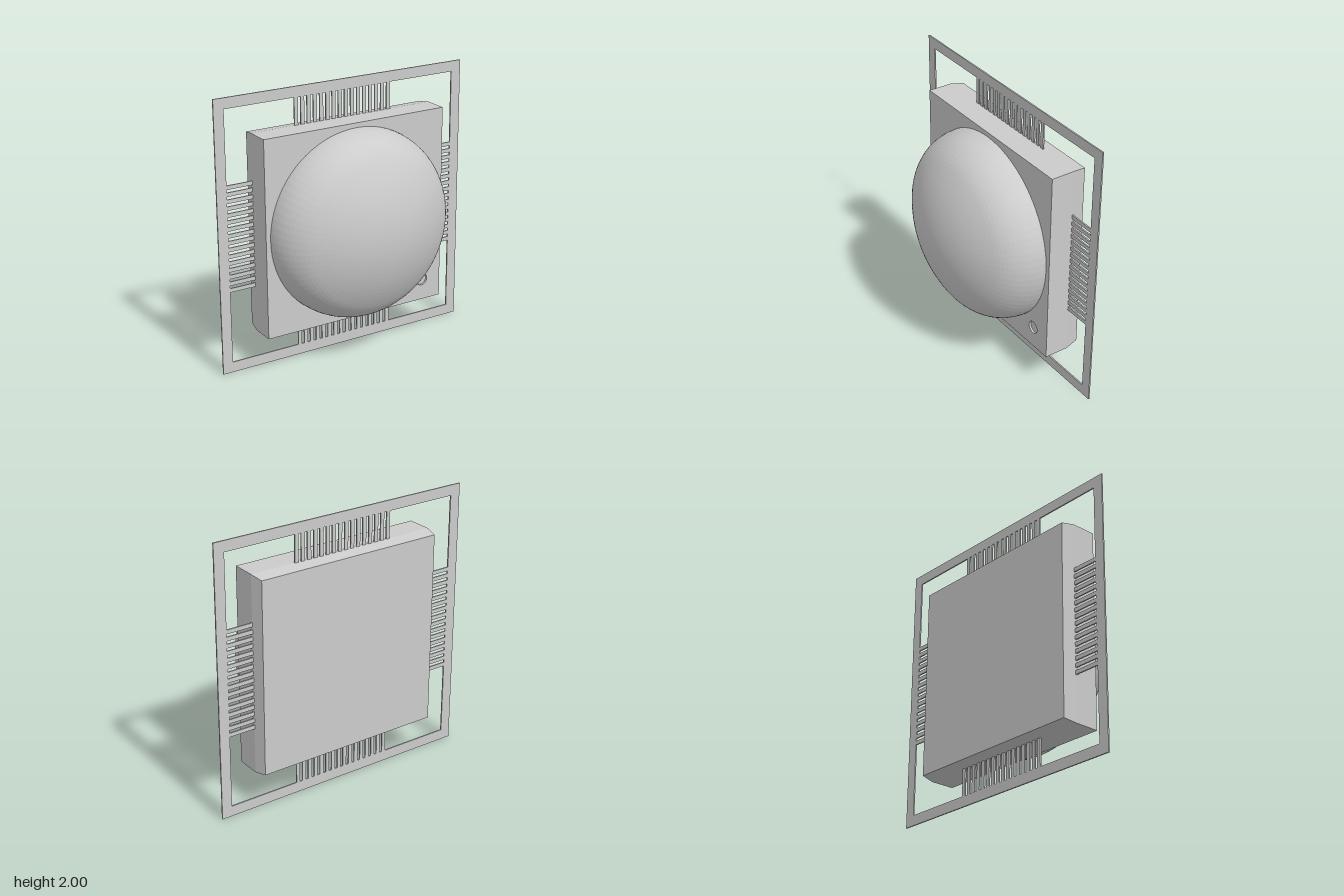
import * as THREE from 'three';

const CY = 1;            // height of the package centre
const HALF = 0.726;      // half width of the package body
const FRONT = -0.085;    // front face of the body
const FRAME_Z = -0.264;  // plane of the lead frame
const THICK = 0.01;      // sheet thickness of the lead frame

const material = new THREE.MeshStandardMaterial({ color: 0xcccccc, flatShading: true });

function addMesh(parent, name, geometry, x = 0, y = 0, z = 0) {
  const mesh = new THREE.Mesh(geometry, material);
  mesh.name = name;
  mesh.position.set(x, y, z);
  parent.add(mesh);
  return mesh;
}

function square(half, Type = THREE.Shape) {
  return new Type([[-1, -1], [1, -1], [1, 1], [-1, 1]].map(([x, y]) => new THREE.Vector2(x * half, y * half)));
}

function extrude(shape, depth) {
  return new THREE.ExtrudeGeometry(shape, { depth, bevelEnabled: false, curveSegments: 32 });
}

export function createModel() {
  const model = new THREE.Group();
  model.name = 'domedChipPackage';
  const chip = new THREE.Group();
  chip.name = 'package';
  chip.position.y = CY;
  model.add(chip);

  // Front layer of the body, with the round orientation dimple
  const recess = 0.015;
  const face = square(HALF);
  face.holes.push(new THREE.Path().absarc(0.567, -0.567, 0.046, 0, Math.PI * 2, true));
  addMesh(chip, 'bodyFace', extrude(face, recess), 0, 0, FRONT - recess);

  // Straight middle of the body, then a drafted rear half
  const bodyFront = FRONT - recess;
  const bodyBack = -0.362;
  const body = new THREE.BoxGeometry(2 * HALF, 2 * HALF, 1, 1, 1, 2);
  const p = body.attributes.position;
  for (let i = 0; i < p.count; i++) {
    const z = p.getZ(i);
    p.setZ(i, z > 0.1 ? bodyFront : z < -0.1 ? bodyBack : FRAME_Z);
    if (z < -0.1) {
      p.setX(i, Math.sign(p.getX(i)) * 0.709);
      p.setY(i, Math.sign(p.getY(i)) * 0.709);
    }
  }
  body.computeVertexNormals();
  addMesh(chip, 'body', body);

  // Dome: a shallow spherical cap blended into a rounded rim
  const profile = [];
  const R = 1, rim = 0.346, apex = 0.36;
  const join = Math.atan2(rim, FRONT - (apex - R)); // angle from the axis where the arcs meet
  for (let i = 0; i <= 12; i++) {
    const a = Math.PI / 2 + (join - Math.PI / 2) * i / 12;
    profile.push(new THREE.Vector2(rim + rim * Math.sin(a), FRONT + rim * Math.cos(a)));
  }
  for (let i = 1; i <= 16; i++) {
    const a = join * (1 - i / 16);
    profile.push(new THREE.Vector2(R * Math.sin(a), apex - R + R * Math.cos(a)));
  }
  const dome = new THREE.LatheGeometry(profile, 80);
  dome.rotateX(Math.PI / 2);
  addMesh(chip, 'dome', dome);

  // Square outer frame
  const inner = 0.923;
  const frame = square(1);
  frame.holes.push(square(inner, THREE.Path));
  addMesh(chip, 'leadFrame', extrude(frame, THICK), 0, 0, FRAME_Z - THICK / 2);

  // Sixteen leads on each side, joining body and frame
  const count = 16, pitch = 0.05;
  const start = HALF - 0.01;
  const lead = new THREE.BoxGeometry(0.029, inner - start, THICK);
  for (let side = 0; side < 4; side++) {
    const row = new THREE.Group();
    row.name = 'leadRow';
    row.rotation.z = side * Math.PI / 2;
    for (let i = 0; i < count; i++) {
      addMesh(row, 'lead', lead, (i - (count - 1) / 2) * pitch, (inner + start) / 2, FRAME_Z);
    }
    chip.add(row);
  }

  return model;
}
